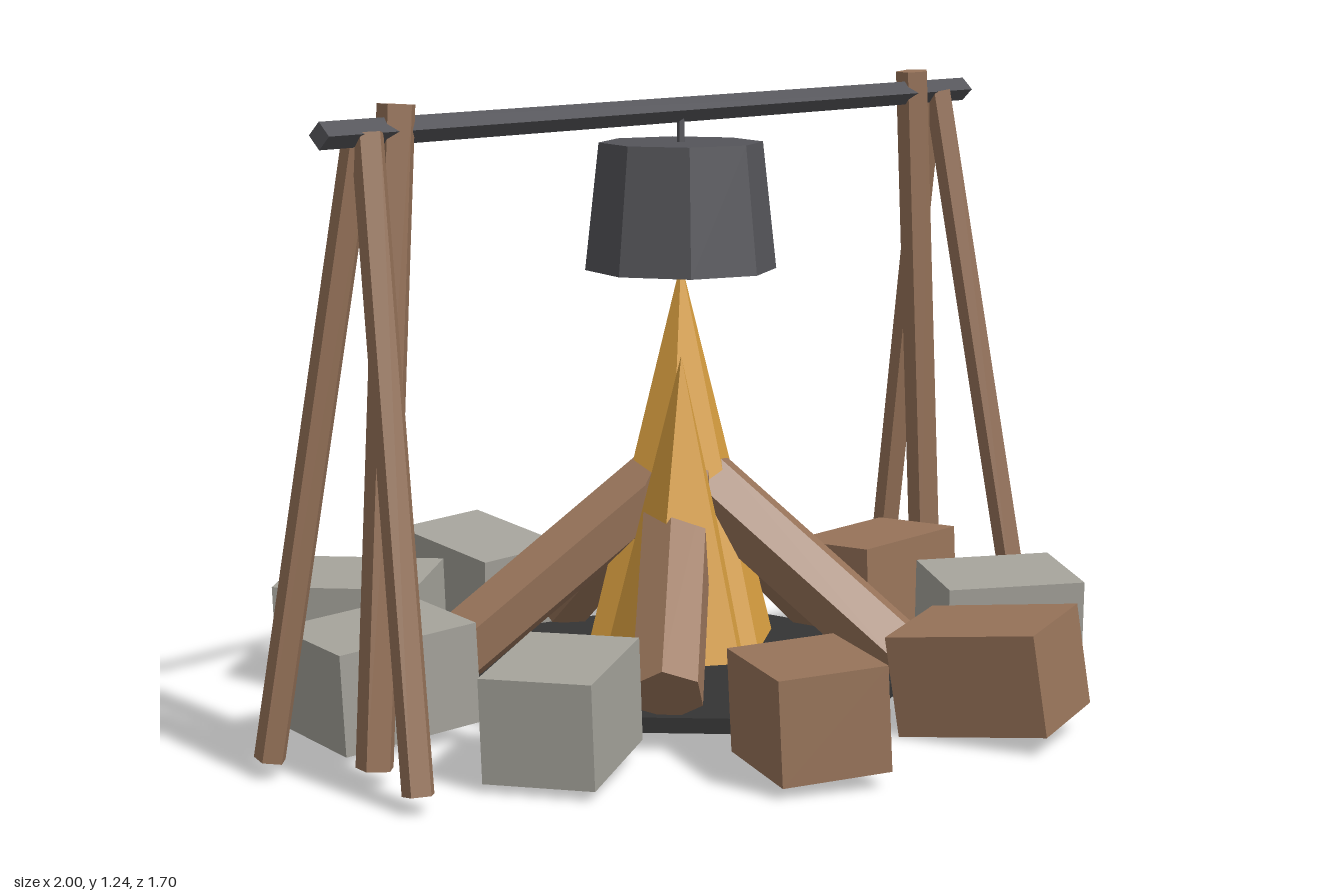
import * as THREE from 'three';

const mat = (name, color) => {
  const m = new THREE.MeshStandardMaterial({ color });
  m.name = name;
  return m;
};

// Flat facets without a shared-normal smoothing
const flat = (geometry) => {
  const g = geometry.toNonIndexed();
  g.computeVertexNormals();
  return g;
};

export function createModel() {
  const model = new THREE.Group();
  model.name = 'campfire';
  const wood = mat('wood brown', 0x98745a);
  const stone = mat('stone grey', 0xa5a39b);
  const iron = mat('iron grey', 0x55555a);
  const ash = mat('ash black', 0x343434);
  const fire = mat('flame orange', 0xd99f40);

  const add = (name, geometry, material, x = 0, y = 0, z = 0) => {
    const mesh = new THREE.Mesh(flat(geometry), material);
    mesh.name = name;
    mesh.position.set(x, y, z);
    model.add(mesh);
    return mesh;
  };

  // Straight pole between two points
  const pole = (name, a, b, radius, sides, material) => {
    const from = new THREE.Vector3(...a), to = new THREE.Vector3(...b);
    const dir = to.clone().sub(from);
    const mesh = add(name, new THREE.CylinderGeometry(radius, radius, dir.length(), sides), material);
    mesh.position.copy(from).add(to).multiplyScalar(0.5);
    mesh.quaternion.setFromUnitVectors(new THREE.Vector3(0, 1, 0), dir.normalize());
    return mesh;
  };

  // Ash bed
  add('ashBed', new THREE.CylinderGeometry(0.48, 0.48, 0.03, 10), ash, 0, 0.043, 0);

  // Flames: x, z, tip height, base radius, sides
  const flameBase = 0.11;
  for (const [x, z, tip, r, sides] of [
    [0, 0, 0.88, 0.2, 6],
    [-0.11, 0.09, 0.71, 0.15, 5],
    [0.13, -0.095, 0.66, 0.145, 5],
  ]) {
    add('flame', new THREE.ConeGeometry(r, tip - flameBase, sides), fire, x, (tip + flameBase) / 2, z);
  }

  // Five logs leaning together
  for (let i = 0; i < 5; i++) {
    const a = (i / 5) * Math.PI * 2, c = Math.cos(a), s = Math.sin(a);
    pole('log', [c * 0.47, 0.105, s * 0.47], [c * 0.05, 0.435, s * 0.05], 0.073, 6, wood);
  }

  // Ring of blocks: x, z, length, width, heading, tilt about x, tilt about z (degrees)
  const blocks = [
    [0.68, 0, 0.31, 0.21, 3, -2, 1, wood],
    [0.53, -0.44, 0.26, 0.24, -43, 4, 5, wood],
    [0.12, -0.67, 0.3, 0.22, -82, 6, 4, stone],
    [-0.33, -0.59, 0.3, 0.24, 61, 1, 4, stone],
    [-0.65, -0.22, 0.3, 0.24, 15, 1, 5, stone],
    [-0.63, 0.23, 0.295, 0.215, -23, 1, 4, stone],
    [-0.34, 0.58, 0.26, 0.215, 121, -1, 3, wood],
    [0.12, 0.67, 0.31, 0.225, 80, -6, 6, wood],
    [0.52, 0.43, 0.29, 0.23, 38, 3, 3, stone],
  ];
  const rad = THREE.MathUtils.degToRad;
  for (const [x, z, len, wid, heading, rx, rz, material] of blocks) {
    const block = add('ringBlock', new THREE.BoxGeometry(len, 0.2, wid), material, x, 0.12, z);
    block.rotation.set(rad(rx), -rad(heading), rad(rz), 'XZY');
  }

  // Tripod stands at both ends
  for (const side of [-1, 1]) {
    pole('innerPost', [side * 0.885, 0.023, 0], [side * 0.805, 1.232, 0], 0.037, 5, wood);
    for (const z of [-1, 1]) {
      pole('splayedPost', [side * 0.968, 0.025, z * 0.19], [side * 0.89, 1.185, z * 0.01], 0.031, 5, wood);
    }
  }

  // Cross bar, hook and pot
  const bar = add('crossBar', new THREE.CylinderGeometry(0.025, 0.025, 2, 4), iron, 0, 1.185, 0);
  bar.rotation.z = Math.PI / 2;
  add('hook', new THREE.CylinderGeometry(0.008, 0.008, 0.07, 5), iron, 0, 1.15, 0);
  add('pot', new THREE.CylinderGeometry(0.165, 0.193, 0.255, 8), iron, 0, 0.993, 0);

  return model;
}
